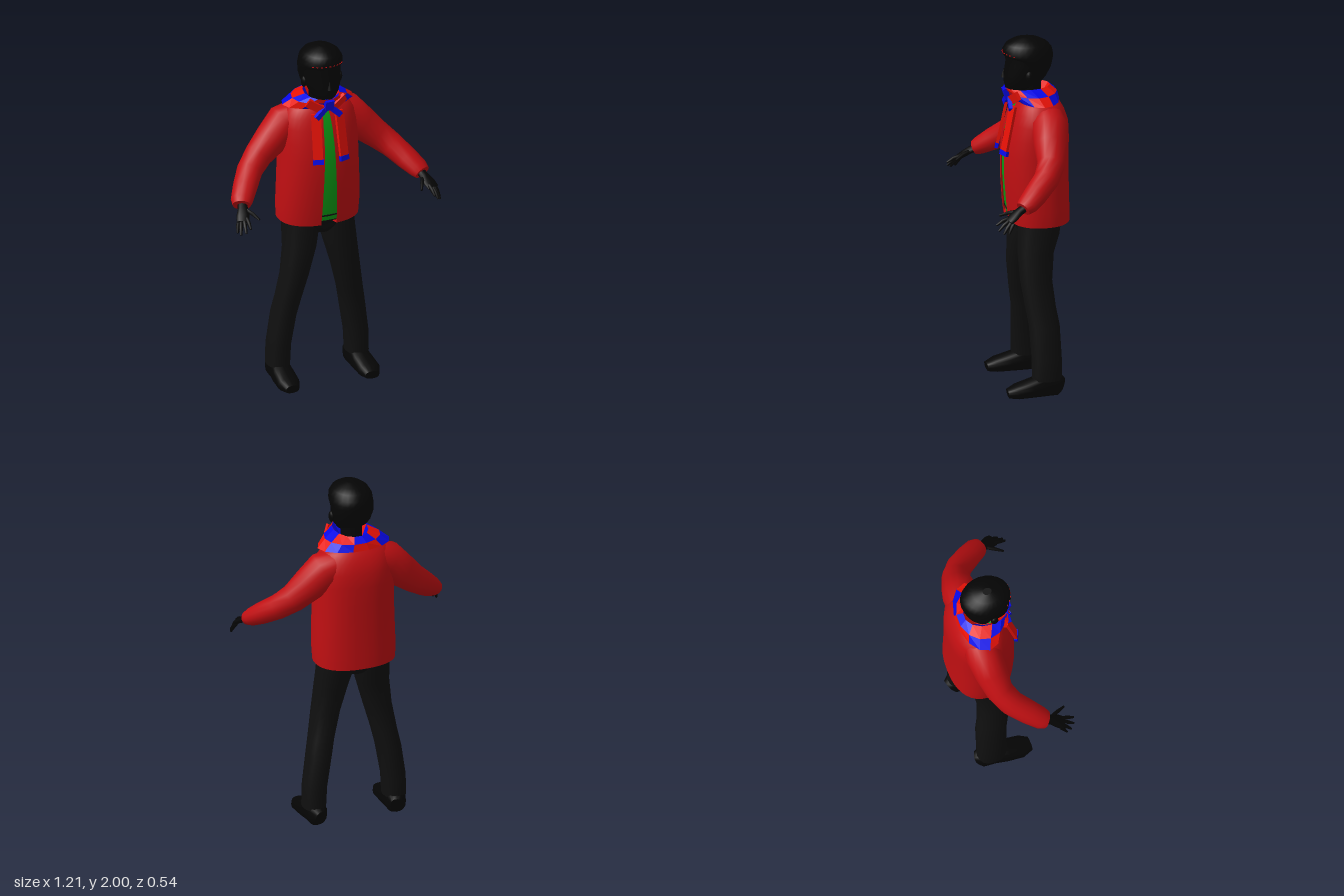
import * as THREE from 'three';

const mat = (name, color, side = THREE.FrontSide) => {
  const m = new THREE.MeshStandardMaterial({ color, side });
  m.name = name;
  return m;
};

const V = (x, y, z) => new THREE.Vector3(x, y, z);
const UP = V(0, 1, 0);

// Skins rounded cross-sections [x, y, z, ru, rv, frontGap] along their centres.
// level: sections stay horizontal (ru along x, rv along z), listed bottom to top.
function loft(rows, { n = 16, p = 2, level = false, capStart = true, capEnd = true } = {}) {
  const pos = [], idx = [];
  const open = rows[0].length > 5;
  const cols = open ? n + 1 : n;
  const centres = rows.map(r => V(r[0], r[1], r[2]));
  rows.forEach((r, k) => {
    let u = V(1, 0, 0), v = V(0, 0, -1);
    if (!level) {
      const a = centres[Math.max(k - 1, 0)], b = centres[Math.min(k + 1, rows.length - 1)];
      const d = b.clone().sub(a).normalize();
      u = UP.clone().cross(d).normalize();
      v = d.clone().cross(u);
    }
    const gap = open ? Math.asin(Math.pow(r[5] / r[3], p / 2)) : 0;
    for (let i = 0; i < cols; i++) {
      const t = -Math.PI / 2 + gap + (i / n) * (2 * Math.PI - 2 * gap);
      const c = Math.cos(t), s = Math.sin(t);
      const q = centres[k].clone()
        .addScaledVector(u, r[3] * Math.sign(c) * Math.pow(Math.abs(c), 2 / p))
        .addScaledVector(v, r[4] * Math.sign(s) * Math.pow(Math.abs(s), 2 / p));
      pos.push(q.x, q.y, q.z);
    }
  });
  for (let k = 0; k < rows.length - 1; k++) {
    for (let i = 0; i < n; i++) {
      const j = (i + 1) % cols, a = k * cols, b = a + cols;
      idx.push(a + i, a + j, b + j, a + i, b + j, b + i);
    }
  }
  // End caps use their own vertices so that the rim stays crisp
  const cap = (k, flip) => {
    const base = pos.length / 3;
    pos.push(...centres[k].toArray());
    pos.push(...pos.slice(k * cols * 3, (k + 1) * cols * 3));
    for (let i = 0; i < n; i++) {
      const a = base + 1 + i, b = base + 1 + (i + 1) % cols;
      if (flip) idx.push(base, b, a); else idx.push(base, a, b);
    }
  };
  if (capStart) cap(0, true);
  if (capEnd) cap(rows.length - 1, false);
  const g = new THREE.BufferGeometry();
  g.setAttribute('position', new THREE.Float32BufferAttribute(pos, 3));
  g.setIndex(idx);
  g.computeVertexNormals();
  return g;
}

export function createModel() {
  const model = new THREE.Group();
  const jacketRed = mat('jacket red', 0xc00f12, THREE.DoubleSide);
  const scarfRed = mat('scarf red', 0xff1408, THREE.DoubleSide);
  const scarfBlue = mat('scarf blue', 0x0808f0, THREE.DoubleSide);
  const shirtGreen = mat('shirt green', 0x0c9a14);
  const trouserBlack = mat('trouser black', 0x0f0f0f);
  const skinBlack = mat('skin and hair black', 0x050505);

  const add = (name, geo, material, parent = model) => {
    const m = new THREE.Mesh(geo, material);
    m.name = name;
    parent.add(m);
    return m;
  };
  // Flat strip of cloth running from a to b
  const strip = (name, a, b, w, t, material) => {
    const d = b.clone().sub(a);
    const m = add(name, new THREE.BoxGeometry(w, d.length(), t), material);
    m.position.copy(a).lerp(b, 0.5);
    m.quaternion.setFromUnitVectors(UP, d.normalize());
  };

  // Jacket body: [y, half width, front z, back z, half opening]
  const body = [
    [0.965, 0.228, 0.075, -0.268, 0.045], [1.05, 0.232, 0.085, -0.266, 0.043],
    [1.2, 0.228, 0.096, -0.263, 0.038], [1.35, 0.223, 0.096, -0.264, 0.032],
    [1.45, 0.222, 0.083, -0.264, 0.029], [1.53, 0.218, 0.064, -0.26, 0.026],
    [1.59, 0.205, 0.045, -0.24, 0.022], [1.635, 0.175, 0.022, -0.215, 0.018],
    [1.665, 0.12, 0.0, -0.185, 0.014],
  ];
  const bodyRows = inset => body.map(([y, rx, f, b, gap]) =>
    [0, y, (f + b) / 2, rx - inset, (f - b) / 2 - inset].concat(inset ? [] : [gap]));
  add('jacketBody', loft(bodyRows(0), { n: 36, p: 2.35, level: true }), jacketRed);
  const shirt = bodyRows(0.012);
  shirt[0][1] = 0.985;
  add('shirt', loft(shirt, { n: 36, p: 2.35, level: true }), shirtGreen);

  // Trousers seat
  add('trouserSeat', loft([
    [0, 0.89, -0.08, 0.06, 0.09], [0, 0.93, -0.085, 0.15, 0.115],
    [0, 0.97, -0.088, 0.195, 0.125], [0, 1.02, -0.08, 0.2, 0.155],
  ], { n: 24, p: 2.4, level: true }), trouserBlack);

  for (const s of [1, -1]) {
    const side = s > 0 ? 'left' : 'right';
    const flip = rows => rows.map(([x, ...rest]) => [s * x, ...rest]);

    add(side + 'TrouserLeg', loft(flip([
      [0.233, 0.1, -0.095, 0.064, 0.083], [0.229, 0.22, -0.095, 0.066, 0.084],
      [0.202, 0.4, -0.088, 0.069, 0.086], [0.182, 0.5, -0.072, 0.07, 0.086],
      [0.15, 0.65, -0.055, 0.078, 0.089], [0.12, 0.8, -0.06, 0.091, 0.1],
      [0.106, 0.9, -0.08, 0.099, 0.115], [0.1, 1.0, -0.09, 0.1, 0.12],
    ]), { n: 16, p: 2.2, level: true }), trouserBlack);

    add(side + 'Shoe', loft(flip([
      [0.222, 0.06, -0.176, 0.035, 0.045], [0.228, 0.068, -0.155, 0.053, 0.063],
      [0.23, 0.07, -0.08, 0.056, 0.066], [0.234, 0.056, -0.01, 0.062, 0.052],
      [0.238, 0.043, 0.075, 0.062, 0.039], [0.236, 0.034, 0.125, 0.04, 0.024],
    ]), { n: 16, p: 2.6 }), skinBlack);

    add(side + 'Sleeve', loft(flip([
      [0.1, 1.575, -0.125, 0.09, 0.075], [0.18, 1.535, -0.122, 0.1, 0.104],
      [0.26, 1.455, -0.108, 0.092, 0.096], [0.35, 1.375, -0.09, 0.076, 0.079],
      [0.42, 1.315, -0.045, 0.071, 0.07], [0.48, 1.255, 0.03, 0.068, 0.062],
      [0.522, 1.212, 0.088, 0.062, 0.05], [0.535, 1.196, 0.115, 0.05, 0.04],
    ]), { n: 16 }), jacketRed);

    // Hand with four fingers and a thumb
    const hand = new THREE.Group();
    hand.name = side + 'Hand';
    model.add(hand);
    add('palm', loft(flip([
      [0.525, 1.205, 0.095, 0.026, 0.022], [0.538, 1.182, 0.14, 0.029, 0.02],
      [0.552, 1.158, 0.175, 0.038, 0.018], [0.563, 1.138, 0.203, 0.036, 0.013],
    ]), { n: 10 }), skinBlack, hand);
    const fingers = [
      [0.54, 1.152, 0.2, 0.545, 1.118, 0.268], [0.556, 1.142, 0.2, 0.569, 1.093, 0.26],
      [0.571, 1.135, 0.193, 0.59, 1.078, 0.238], [0.582, 1.134, 0.18, 0.599, 1.08, 0.21],
      [0.522, 1.18, 0.15, 0.48, 1.15, 0.235],
    ];
    fingers.forEach(([x, y, z, X, Y, Z], i) => add(i < 4 ? 'finger' : 'thumb', loft(flip([
      [x, y, z, 0.011, 0.011], [(x + X) / 2, (y + Y) / 2 + 0.004, (z + Z) / 2, 0.0105, 0.0105],
      [X, Y, Z, 0.006, 0.006],
    ]), { n: 7 }), skinBlack, hand));

    // Hanging scarf ends
    strip(side + 'ScarfTail', V(s * 0.068, 1.63, 0.052), V(s * 0.076, 1.38, 0.103), 0.054, 0.016, scarfRed);
    strip(side + 'ScarfTailEnd', V(s * 0.076, 1.38, 0.103), V(s * 0.077, 1.352, 0.108), 0.06, 0.018, scarfBlue);
    strip(side + 'ScarfFold', V(s * 0.012, 1.665, 0.062), V(s * 0.072, 1.61, 0.066), 0.03, 0.022, scarfBlue);
    strip(side + 'ScarfLapel', V(s * 0.11, 1.7, 0.035), V(s * 0.02, 1.645, 0.058), 0.05, 0.018, scarfRed);

    const ear = add(side + 'Ear', new THREE.SphereGeometry(1, 10, 8), skinBlack);
    ear.scale.set(0.014, 0.032, 0.022);
    ear.position.set(s * 0.106, 1.8, -0.03);
  }

  // Scarf wrap: rings [y, half width, centre z, half depth] from the neck outwards
  const rings = [
    [1.66, 0.065, -0.055, 0.07], [1.722, 0.095, -0.04, 0.13],
    [1.692, 0.158, -0.07, 0.135], [1.652, 0.208, -0.092, 0.122], [1.635, 0.13, -0.09, 0.09],
  ];
  const segs = 14, pts = [[], []];
  const at = (k, i) => {
    const [y, rx, cz, rz] = rings[k], t = ((i + 0.5) / segs) * Math.PI * 2;
    return [rx * Math.sin(t), y, cz + rz * Math.cos(t)];
  };
  for (let k = 0; k < rings.length - 1; k++) {
    for (let i = 0; i < segs; i++) {
      const a = at(k, i), b = at(k, i + 1), c = at(k + 1, i + 1), d = at(k + 1, i);
      pts[(Math.floor(i / 2) + k) % 2].push(...a, ...d, ...c, ...a, ...c, ...b);
    }
  }
  pts.forEach((list, i) => {
    const g = new THREE.BufferGeometry();
    g.setAttribute('position', new THREE.Float32BufferAttribute(list, 3));
    g.computeVertexNormals();
    add(i ? 'scarfRedChecks' : 'scarfBlueChecks', g, i ? scarfRed : scarfBlue);
  });
  strip('scarfKnot', V(0, 1.715, 0.085), V(0, 1.655, 0.066), 0.05, 0.025, scarfBlue);

  // Neck and face: [y, half width, front z, back z]
  const headRows = list => list.map(([y, rx, f, b]) => [0, y, (f + b) / 2, rx, (f - b) / 2]);
  add('neck', loft(headRows([
    [1.6, 0.06, -0.01, -0.13], [1.68, 0.058, -0.005, -0.12], [1.76, 0.06, 0.0, -0.12],
  ]), { n: 16, level: true }), skinBlack);
  add('face', loft(headRows([
    [1.702, 0.035, 0.062, -0.06], [1.72, 0.062, 0.08, -0.08], [1.75, 0.082, 0.087, -0.1],
    [1.8, 0.1, 0.085, -0.13], [1.86, 0.106, 0.076, -0.15], [1.92, 0.106, 0.078, -0.15],
  ]), { n: 24, level: true }), skinBlack);
  const nose = add('nose', new THREE.ConeGeometry(0.016, 0.05, 8), skinBlack);
  nose.position.set(0, 1.805, 0.088);
  add('hair', loft(headRows([
    [1.755, 0.08, -0.03, -0.12], [1.79, 0.103, -0.01, -0.148], [1.84, 0.116, 0.015, -0.175],
    [1.885, 0.12, 0.055, -0.185], [1.905, 0.12, 0.09, -0.186], [1.935, 0.116, 0.094, -0.18],
    [1.965, 0.098, 0.076, -0.155], [1.987, 0.066, 0.04, -0.115], [2.0, 0.02, -0.01, -0.06],
  ]), { n: 24, level: true }), skinBlack);

  // Broken thread of red along the fringe
  for (let i = -4; i <= 4; i++) {
    const t = i * 0.2;
    const dash = add('fringeDash', new THREE.BoxGeometry(0.01, 0.004, 0.004), jacketRed);
    dash.position.set(0.119 * Math.sin(t), 1.921 - 0.008 * t * t, -0.045 + 0.139 * Math.cos(t));
    dash.rotation.y = t;
  }
  return model;
}
